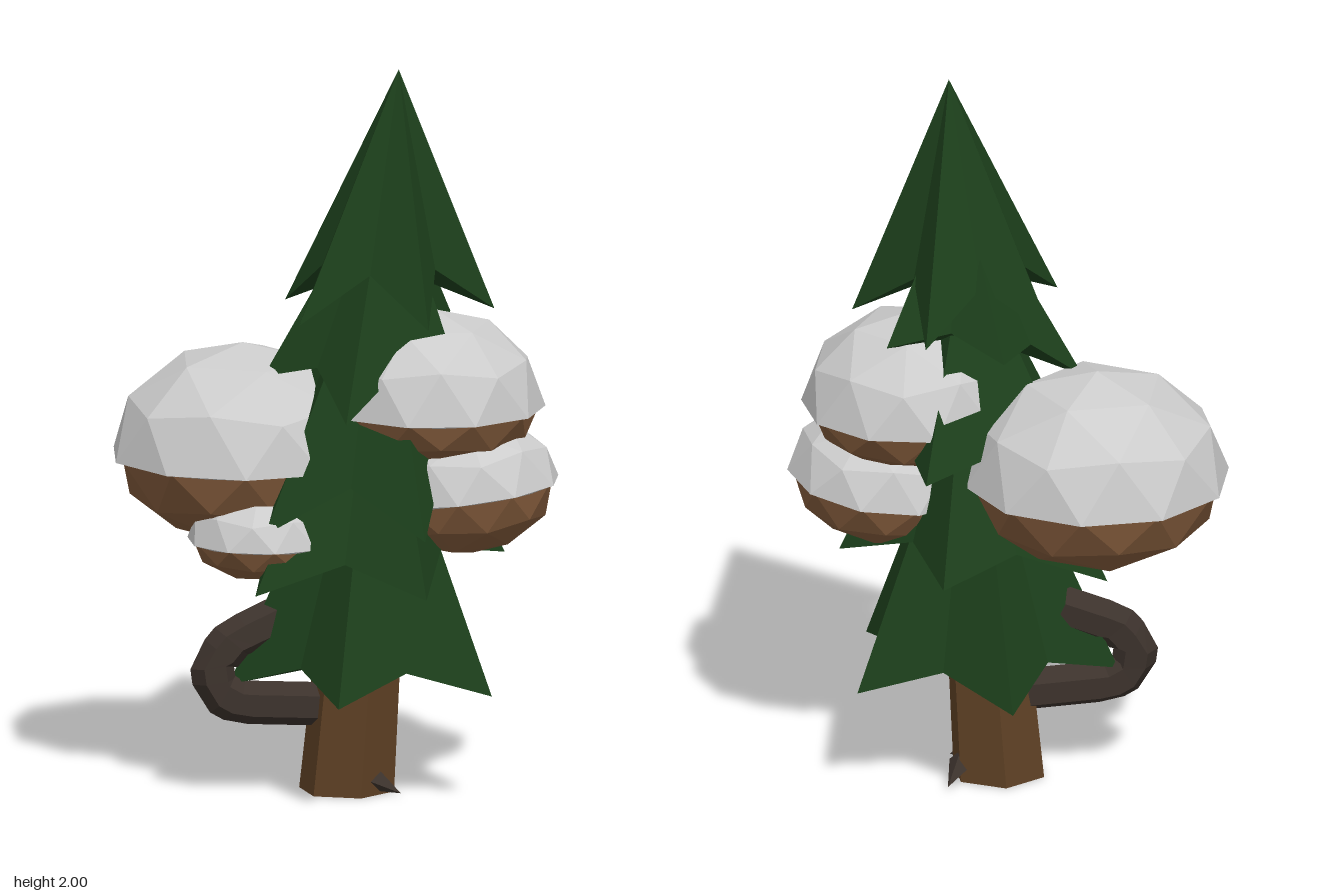
import * as THREE from 'three';

const mat = (color, extra = {}) =>
  new THREE.MeshStandardMaterial({ color, flatShading: true, ...extra });

function add(parent, name, geometry, material) {
  const mesh = new THREE.Mesh(geometry, material);
  mesh.name = name;
  parent.add(mesh);
  return mesh;
}

// Star-shaped cone: apex, five drooping tips, raised notches and a hollow underside
function starCone({ x, apexX, y, top, r, inner, notch, start, tilt = 0 }) {
  const apex = [apexX, top, 0], under = [x, y + notch, 0], ring = [], tris = [];
  for (let i = 0; i < 10; i++) {
    const a = THREE.MathUtils.degToRad(start + i * 36);
    const tip = i % 2 === 0, d = tip ? r : inner, z = Math.sin(a) * d;
    ring.push([x + Math.cos(a) * d, y + (tip ? 0 : notch) - tilt * z, z]);
  }
  for (let i = 0; i < 10; i++) {
    const a = ring[i], b = ring[(i + 1) % 10];
    tris.push(...apex, ...b, ...a, ...under, ...a, ...b);
  }
  const g = new THREE.BufferGeometry();
  g.setAttribute('position', new THREE.Float32BufferAttribute(tris, 3));
  g.computeVertexNormals();
  return g;
}

// Faceted ball with a corner at each pole and a ten-sided rim;
// the halves above and below the rim are stretched separately
function facetedBall(r, up, down, turn) {
  const g = new THREE.IcosahedronGeometry(1, 1);
  g.rotateZ(-0.5536).rotateY(turn);
  const p = g.attributes.position;
  for (let i = 0; i < p.count; i++) {
    const y = p.getY(i);
    p.setXYZ(i, p.getX(i) * r, y * (y > 0 ? up : down), p.getZ(i) * r);
  }
  g.computeVertexNormals();
  return g;
}

export function createModel() {
  const tree = new THREE.Group();
  tree.name = 'tree';
  const bark = mat(0x5e4024), dark = mat(0x3c322c), flesh = mat(0x80593a);
  const grey = mat(0xcccccc), green = mat(0x1c3f1b, { side: THREE.DoubleSide });

  // Leaning six-sided trunk
  const trunk = new THREE.CylinderGeometry(0.09, 0.132, 1.3, 6);
  trunk.rotateY(Math.PI / 6).translate(0, 0.65, 0);
  const tp = trunk.attributes.position;
  for (let i = 0; i < tp.count; i++) tp.setX(i, tp.getX(i) + 0.035 + tp.getY(i) * 0.08);
  trunk.computeVertexNormals();
  add(tree, 'trunk', trunk, bark);

  // Foliage tiers, lowest first
  [
    { x: 0.1, apexX: 0.11, y: 0.3, top: 1.2, r: 0.385, inner: 0.25, notch: 0.07, start: 90 },
    { x: 0.07, apexX: 0.12, y: 0.63, top: 1.4, r: 0.4, inner: 0.25, notch: 0.07, start: 50, tilt: 0.11 },
    { x: 0.1, apexX: 0.13, y: 0.85, top: 1.55, r: 0.38, inner: 0.23, notch: 0.1, start: 126, tilt: 0.3 },
    { x: 0.1, apexX: 0.15, y: 1.19, top: 1.75, r: 0.29, inner: 0.19, notch: 0.07, start: 90, tilt: 0.42 },
    { x: 0.135, apexX: 0.18, y: 1.33, top: 2, r: 0.305, inner: 0.165, notch: 0.13, start: -19 },
  ].forEach((tier, i) => add(tree, `foliageTier${i + 1}`, starCone(tier), green));

  // Mushrooms: brown body under a grey cap
  [
    { name: 'largeMushroom', at: [-0.26, 0.91, -0.025], r: 0.365, up: 0.31, down: 0.24, turn: 0.25 },
    { name: 'smallMushroom', at: [-0.165, 0.71, 0.135], r: 0.21, up: 0.15, down: 0.11, turn: 1 },
    { name: 'upperMushroom', at: [0.27, 1.06, -0.05], r: 0.3, up: 0.27, down: 0.16, turn: 0.6 },
    { name: 'lowerMushroom', at: [0.355, 0.835, -0.05], r: 0.26, up: 0.21, down: 0.175, turn: 1.4, lean: 0.12 },
  ].forEach(({ name, at, r, up, down, turn, lean = 0 }) => {
    const group = new THREE.Group();
    group.name = name;
    group.position.set(...at);
    group.rotation.z = lean;
    tree.add(group);
    add(group, 'cap', facetedBall(r, up, 0.015, turn), grey);
    add(group, 'body', facetedBall(r * 0.94, up * 0.7, down, turn), flesh);
  });

  // Crooked branch that curls from the trunk back into the foliage
  const path = new THREE.CurvePath();
  const bends = [
    [0.02, 0.235, 0], [-0.24, 0.255, 0.13], [-0.295, 0.29, 0.155],
    [-0.305, 0.36, 0.155], [-0.255, 0.425, 0.13], [-0.12, 0.49, 0.05],
  ].map((p) => new THREE.Vector3(...p));
  for (let i = 1; i < bends.length; i++) path.add(new THREE.LineCurve3(bends[i - 1], bends[i]));
  add(tree, 'branch', new THREE.TubeGeometry(path, 16, 0.06, 6), dark);

  // Root spikes at the foot of the trunk
  [
    { at: [0.145, 0.03, 0.05], lean: [0, -2], r: 0.045 },
    { at: [0.11, 0.03, -0.135], lean: [-1.9, 0], r: 0.037 },
  ].forEach(({ at, lean, r }, i) => {
    const root = add(tree, `root${i + 1}`, new THREE.ConeGeometry(r, 0.115, 4), dark);
    root.position.set(...at);
    root.rotation.set(lean[0], 0, lean[1]);
  });

  return tree;
}
